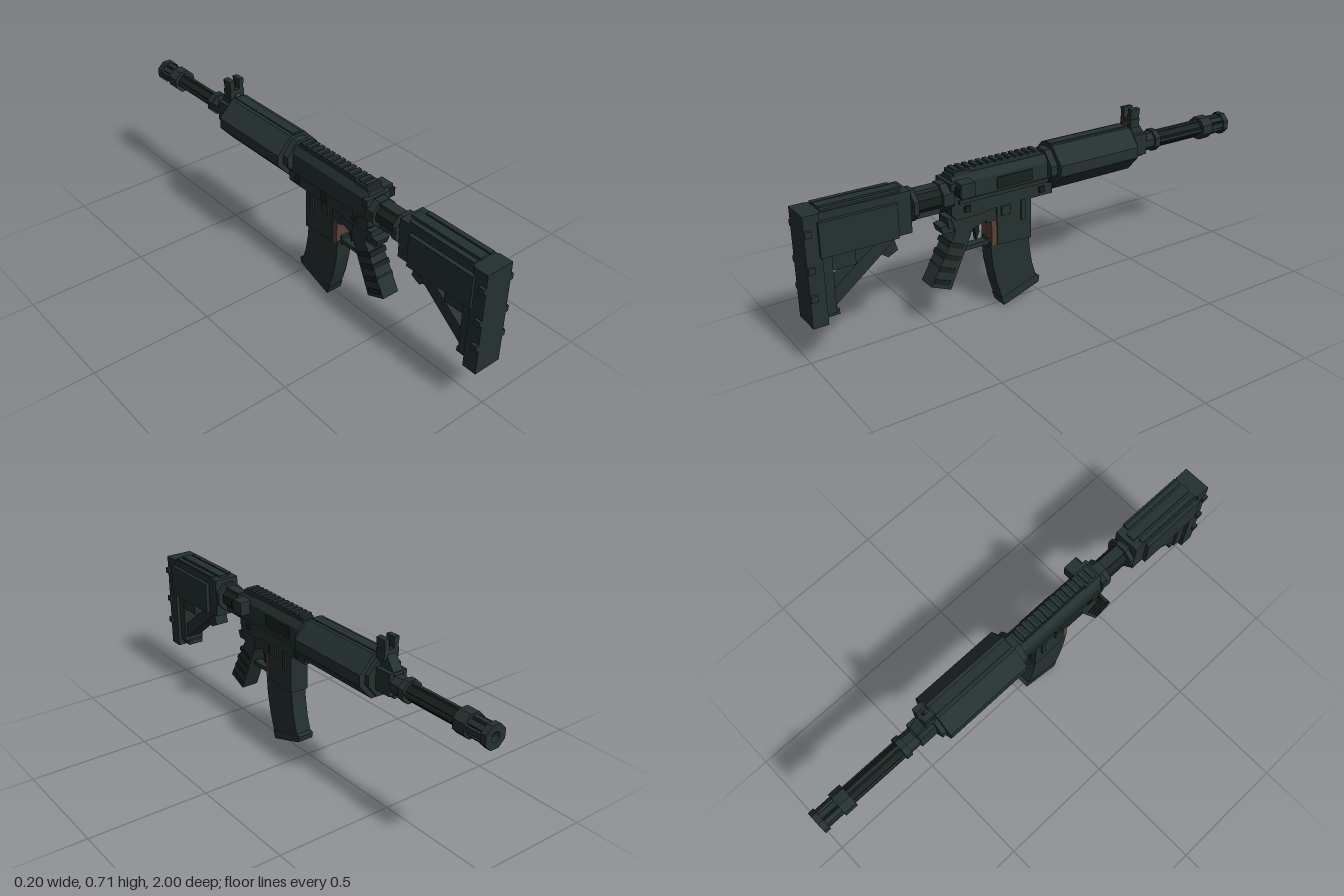
import * as THREE from 'three';

const paint = (name, color) => {
  const m = new THREE.MeshStandardMaterial({ color, flatShading: true });
  m.name = name;
  return m;
};

export function createModel() {
  const model = new THREE.Group();
  model.name = 'rifle';
  const green = paint('dark green polymer', 0x243130);
  const dark = paint('blackened steel', 0x18211f);
  const brown = paint('brown steel', 0x5a4038);

  const add = (name, geometry, material) => {
    const mesh = new THREE.Mesh(geometry, material);
    mesh.name = name;
    model.add(mesh);
  };
  // Box from x, y and z ranges
  const box = (name, x0, x1, y0, y1, z0, z1, m = green) => {
    const g = new THREE.BoxGeometry(x1 - x0, y1 - y0, z1 - z0);
    g.translate((x0 + x1) / 2, (y0 + y1) / 2, (z0 + z1) / 2);
    add(name, g, m);
  };
  // Box centred on x with half width w
  const mid = (name, w, y0, y1, z0, z1, m) => box(name, -w, w, y0, y1, z0, z1, m);
  // Mirrored pair of boxes
  const pair = (name, x0, x1, y0, y1, z0, z1, m) => {
    box(name + 'Left', x0, x1, y0, y1, z0, z1, m);
    box(name + 'Right', -x1, -x0, y0, y1, z0, z1, m);
  };
  const shape = pts => new THREE.Shape(pts.map(p => new THREE.Vector2(...p)));
  // Side profile of [z, y] points, half width w
  const side = (name, w, pts, m = green) => {
    const g = new THREE.ExtrudeGeometry(shape(pts), { depth: 2 * w, bevelEnabled: false });
    g.rotateY(-Math.PI / 2);
    g.translate(w, 0, 0);
    add(name, g, m);
  };
  // Section of [x, y] points swept from z0 to z1
  const section = (name, pts, z0, z1) => {
    const g = new THREE.ExtrudeGeometry(shape(pts), { depth: z1 - z0, bevelEnabled: false });
    g.translate(0, 0, z0);
    add(name, g, green);
  };
  // Eight-sided bar along z
  const tube = (name, r, z0, z1, m = dark, y = 0.54) => {
    const g = new THREE.CylinderGeometry(r, r, z1 - z0, 8);
    g.rotateY(Math.PI / 8);
    g.rotateX(Math.PI / 2);
    g.translate(0, y, (z0 + z1) / 2);
    add(name, g, m);
  };

  // Stock
  mid('buttPlate', 0.06, 0.17, 0.6, 0.94, 1);
  for (const y of [0.535, 0.397, 0.29]) pair('buttTab', 0.06, 0.072, y - 0.012, y + 0.012, 0.975, 1);
  mid('stockBody', 0.055, 0.435, 0.6, 0.59, 0.94);
  pair('stockSide', 0.055, 0.071, 0.435, 0.57, 0.65, 0.95);
  mid('stockTopRib', 0.02, 0.6, 0.61, 0.61, 0.93);
  pair('stockEdgeRib', 0.03, 0.05, 0.6, 0.607, 0.63, 0.93);
  mid('stockGusset', 0.04, 0.365, 0.435, 0.81, 0.945);
  mid('buttInner', 0.045, 0.2, 0.44, 0.9, 0.945);
  side('stockStrut', 0.035, [[0.94, 0.19], [0.94, 0.26], [0.71, 0.437], [0.65, 0.437], [0.66, 0.41]]);
  side('adjustLever', 0.03, [[0.72, 0.44], [0.72, 0.38], [0.68, 0.35], [0.64, 0.37], [0.66, 0.44]]);
  mid('stockToe', 0.035, 0.185, 0.205, 0.885, 0.96);

  // Stock tube
  tube('stockTube', 0.045, 0.38, 0.62, dark, 0.525);
  mid('tubeTopRib', 0.022, 0.55, 0.575, 0.4, 0.6);
  mid('tubeLowerRib', 0.02, 0.465, 0.5, 0.43, 0.6);
  tube('tubeRing', 0.066, 0.56, 0.58, green, 0.525);
  tube('tubeNut', 0.06, 0.41, 0.455, green, 0.525);

  // Receivers
  section('upperReceiver', [[-0.048, 0.49], [0.048, 0.49], [0.048, 0.575], [0.03, 0.605], [-0.03, 0.605], [-0.048, 0.575]], -0.03, 0.41);
  mid('topRail', 0.026, 0.6, 0.618, 0, 0.4);
  for (let i = 0; i < 13; i++) mid('railTooth', 0.028, 0.618, 0.626, 0.012 + i * 0.03, 0.03 + i * 0.03);
  side('lowerReceiver', 0.045, [[0.42, 0.5], [0.42, 0.46], [0.4, 0.43], [0.3, 0.43], [0.24, 0.44], [-0.04, 0.44], [-0.04, 0.5]]);
  side('triggerHousing', 0.035, [[0.43, 0.44], [0.43, 0.4], [0.33, 0.37], [0.24, 0.4], [0.24, 0.44]]);
  mid('chargingHandle', 0.058, 0.555, 0.585, 0.4, 0.425);
  box('forwardAssist', 0.04, 0.092, 0.53, 0.588, 0.34, 0.4);
  box('assistButton', 0.06, 0.095, 0.54, 0.575, 0.4, 0.41, dark);
  pair('receiverRib', 0.046, 0.054, 0.495, 0.51, -0.03, 0.39);
  box('ejectionCover', 0.046, 0.053, 0.52, 0.565, 0.06, 0.22, dark);
  box('boltCatch', -0.053, -0.044, 0.45, 0.49, 0.16, 0.19, dark);
  for (const z of [0.34, 0]) pair('takedownPin', 0.044, 0.053, 0.455, 0.48, z, z + 0.025, dark);
  mid('rearSightBase', 0.035, 0.6, 0.618, 0.33, 0.4);

  // Grip and trigger
  side('pistolGrip', 0.038, [[0.42, 0.44], [0.4, 0.38], [0.515, 0.18], [0.43, 0.145], [0.325, 0.375], [0.33, 0.44]]);
  side('gripBackSpur', 0.03, [[0.46, 0.41], [0.45, 0.38], [0.39, 0.38], [0.39, 0.42]]);
  for (let i = 0; i < 4; i++) {
    const z = 0.365 + i * 0.021, y = 0.32 - i * 0.046;
    side('gripRidge', 0.041, [[z, y], [z + 0.065, y + 0.028], [z + 0.074, y + 0.01], [z + 0.009, y - 0.018]], dark);
  }
  mid('triggerGuard', 0.018, 0.28, 0.298, 0.235, 0.36);
  mid('guardFront', 0.018, 0.27, 0.31, 0.235, 0.25);
  side('trigger', 0.01, [[0.31, 0.4], [0.285, 0.4], [0.28, 0.34], [0.295, 0.31], [0.3, 0.35]], dark);

  // Magazine well and magazine
  side('magazineWell', 0.042, [[0.218, 0.45], [0.218, 0.28], [0.06, 0.27], [0.06, 0.45]]);
  mid('wellRear', 0.036, 0.38, 0.45, 0.218, 0.262);
  mid('brownWellPlate', 0.038, 0.28, 0.385, 0.218, 0.241, brown);
  pair('wellRib', 0.042, 0.049, 0.36, 0.445, 0.09, 0.11);
  pair('wellCatch', 0.042, 0.049, 0.4, 0.44, 0.16, 0.2);
  side('magazine', 0.035, [[0.245, 0.29], [0.238, 0.2], [0.22, 0.11], [0.19, 0.015], [0.025, 0.066], [0.05, 0.15], [0.062, 0.22], [0.068, 0.29]]);
  side('magazineBase', 0.036, [[0.199, 0.034], [0.188, 0], [0.02, 0.057], [0.015, 0.083], [0.03, 0.09]]);

  // Handguard
  const guard = [[-0.04, 0.455], [0.04, 0.455], [0.098, 0.52], [0.098, 0.565], [0.035, 0.632], [-0.035, 0.632], [-0.098, 0.565], [-0.098, 0.52]];
  const cap = guard.map(([x, y]) => [x * 0.75, 0.54 + (y - 0.54) * 0.85]);
  section('handguard', guard, -0.435, -0.045);
  section('handguardRearRing', cap, -0.045, -0.015);
  section('handguardFrontCap', cap, -0.455, -0.435);
  mid('handguardTopRib', 0.02, 0.63, 0.637, -0.43, -0.05);

  // Front sight
  mid('sightBlock', 0.04, 0.5, 0.59, -0.53, -0.45);
  side('sightTower', 0.022, [[-0.44, 0.57], [-0.445, 0.65], [-0.485, 0.65], [-0.535, 0.58], [-0.51, 0.55]]);
  mid('sightHead', 0.034, 0.625, 0.662, -0.49, -0.445);
  for (const s of [-1, 1]) {
    section(s < 0 ? 'sightEarRight' : 'sightEarLeft', [[s * 0.012, 0.66], [s * 0.03, 0.66], [s * 0.035, 0.704], [s * 0.012, 0.706]], -0.49, -0.445);
  }
  mid('sightPost', 0.006, 0.66, 0.69, -0.472, -0.462, dark);
  mid('sightBrace', 0.012, 0.575, 0.645, -0.447, -0.438, brown);

  // Barrel
  tube('barrel', 0.033, -0.88, -0.43);
  for (let i = 0; i < 4; i++) {
    const rib = new THREE.BoxGeometry(0.012, 0.008, 0.25);
    add('barrelRib', rib.translate(0, 0.034, 0).rotateZ(i * Math.PI / 2).translate(0, 0.54, -0.73), green);
  }
  tube('barrelCollar', 0.048, -0.605, -0.578, green);
  tube('barrelSleeve', 0.04, -0.578, -0.52, green);
  mid('slingLug', 0.015, 0.485, 0.51, -0.53, -0.48);

  // Muzzle device
  tube('muzzleCollar', 0.051, -0.905, -0.85, green);
  tube('muzzleCore', 0.03, -0.975, -0.9);
  for (let i = 0; i < 8; i++) {
    const prong = new THREE.BoxGeometry(0.02, 0.014, 0.075);
    add('muzzleProng', prong.translate(0, 0.033, 0).rotateZ(i * Math.PI / 4).translate(0, 0.54, -0.94), green);
  }
  const ring = shape(Array.from({ length: 8 }, (_, i) => {
    const a = (i + 0.5) * Math.PI / 4;
    return [0.049 * Math.cos(a), 0.54 + 0.049 * Math.sin(a)];
  }));
  ring.holes.push(new THREE.Path().absarc(0, 0.54, 0.02, 0, Math.PI * 2, true));
  const ringBody = new THREE.ExtrudeGeometry(ring, { depth: 0.025, bevelEnabled: false, curveSegments: 8 });
  add('muzzleRing', ringBody.translate(0, 0, -1), green);

  return model;
}
